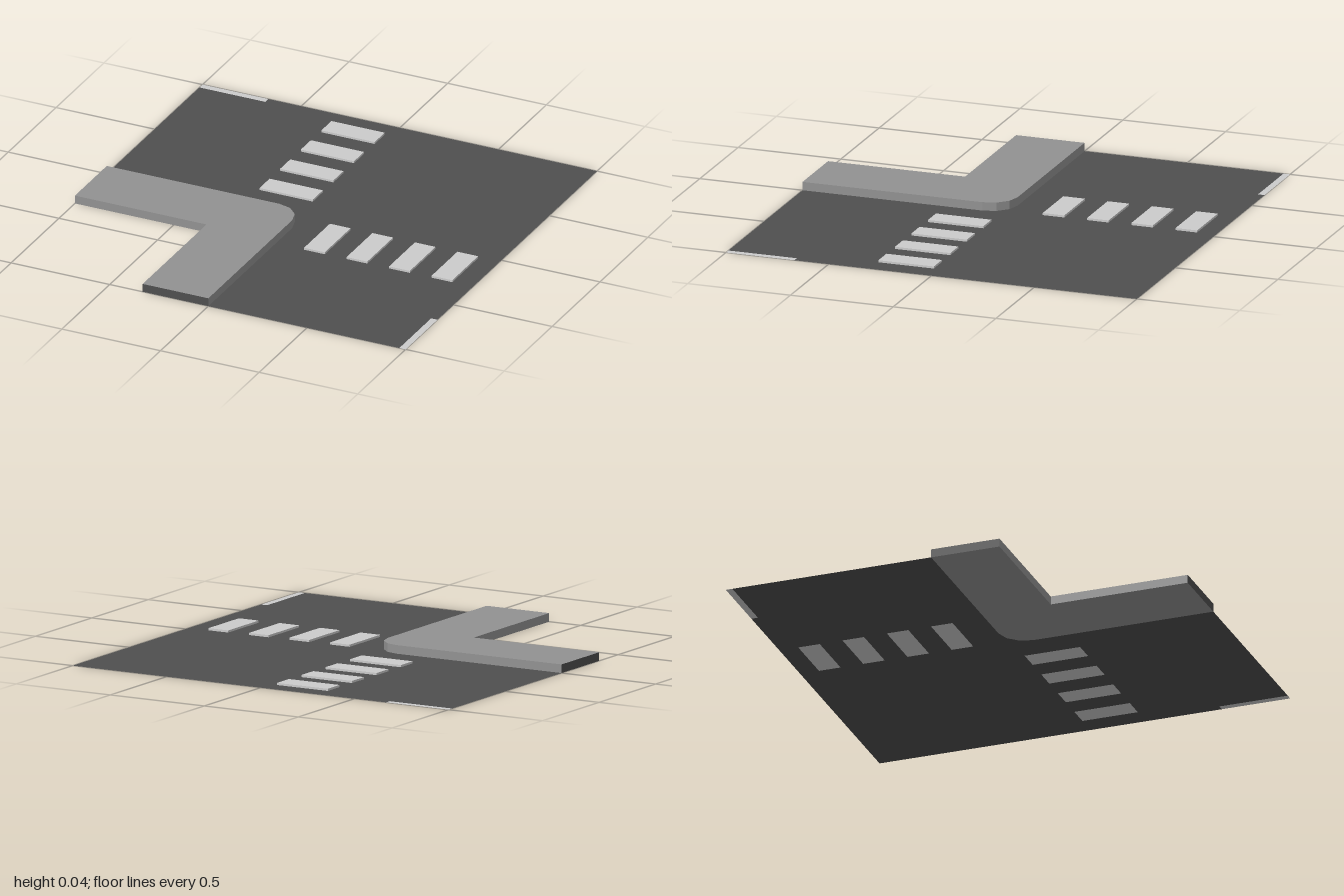
import * as THREE from 'three';

const ASPHALT = 0x4f4f4f, PAVEMENT = 0x929292, PAINT = 0xcccccc;
const CURB_H = 0.04, STRIPE_H = 0.01, R = 0.125, W = 0.333;

const material = (color, side = THREE.FrontSide) =>
  new THREE.MeshStandardMaterial({ color, side, flatShading: true });

// Outlines are drawn on the ground as [x, z] and laid flat afterwards
const points = (list) => list.map(([x, z]) => new THREE.Vector2(x, -z));
const rect = ([x0, x1, z0, z1]) => points([[x0, z1], [x1, z1], [x1, z0], [x0, z0]]);

// Rounded street corner, three facets, running from the left edge to the front
const cornerArc = [0, 1, 2, 3].map((i) => {
  const a = (i / 3) * Math.PI / 2;
  return [-R + R * Math.sin(a), R - R * Math.cos(a)];
});

// Rectangles [x0, x1, z0, z1] of the two zebra crossings and the edge lines
const crossings = [];
for (let i = 0; i < 4; i++) {
  const x = 0.144 + i * 0.2155, z = -0.157 - i * 0.2155;
  crossings.push([x, x + 0.105, 0.027, 0.297]);
  crossings.push([-0.302, -0.032, z - 0.105, z]);
}
const edgeLines = [[-1, -0.667, -1, -0.968], [0.968, 1, 0.667, 1]];

export function createModel() {
  const group = new THREE.Group();
  const add = (name, geometry, mat) => {
    const mesh = new THREE.Mesh(geometry, mat);
    mesh.name = name;
    group.add(mesh);
    return mesh;
  };

  // Road sheet, cut out around the pavement, the stripes and the edge lines
  const road = new THREE.Shape(points([
    ...[[-1, 0]], ...cornerArc, [0, 1],
    [0.968, 1], [0.968, 0.667], [1, 0.667],
    [1, -1], [-0.667, -1], [-0.667, -0.968], [-1, -0.968],
  ]));
  road.holes = crossings.map((r) => new THREE.Path(rect(r)));
  add('road', new THREE.ShapeGeometry(road).rotateX(-Math.PI / 2),
    material(ASPHALT, THREE.DoubleSide));

  // L-shaped raised pavement
  const curb = new THREE.Shape(points([
    [-1, 0], ...cornerArc, [0, 1], [-W, 1], [-W, W], [-1, W],
  ]));
  const curbGeo = new THREE.ExtrudeGeometry(curb, { depth: CURB_H, bevelEnabled: false })
    .rotateX(-Math.PI / 2);

  // The two cut ends of the pavement are dark
  const pos = curbGeo.attributes.position;
  curbGeo.clearGroups();
  for (let i = 0; i < pos.count; i += 3) {
    const tri = [i, i + 1, i + 2];
    const isEnd = tri.every((k) => pos.getX(k) < -0.999) || tri.every((k) => pos.getZ(k) > 0.999);
    curbGeo.addGroup(i, 3, isEnd ? 1 : 0);
  }
  add('pavement', curbGeo, [material(PAVEMENT), material(ASPHALT)]);

  // Raised crossing stripes
  const paint = material(PAINT);
  for (const [x0, x1, z0, z1] of crossings) {
    add('crossingStripe', new THREE.BoxGeometry(x1 - x0, STRIPE_H, z1 - z0), paint)
      .position.set((x0 + x1) / 2, STRIPE_H / 2, (z0 + z1) / 2);
  }

  // Flush lane lines at the tile edges
  const flatPaint = material(PAINT, THREE.DoubleSide);
  for (const r of edgeLines) {
    add('laneLine', new THREE.ShapeGeometry(new THREE.Shape(rect(r))).rotateX(-Math.PI / 2), flatPaint);
  }

  return group;
}
